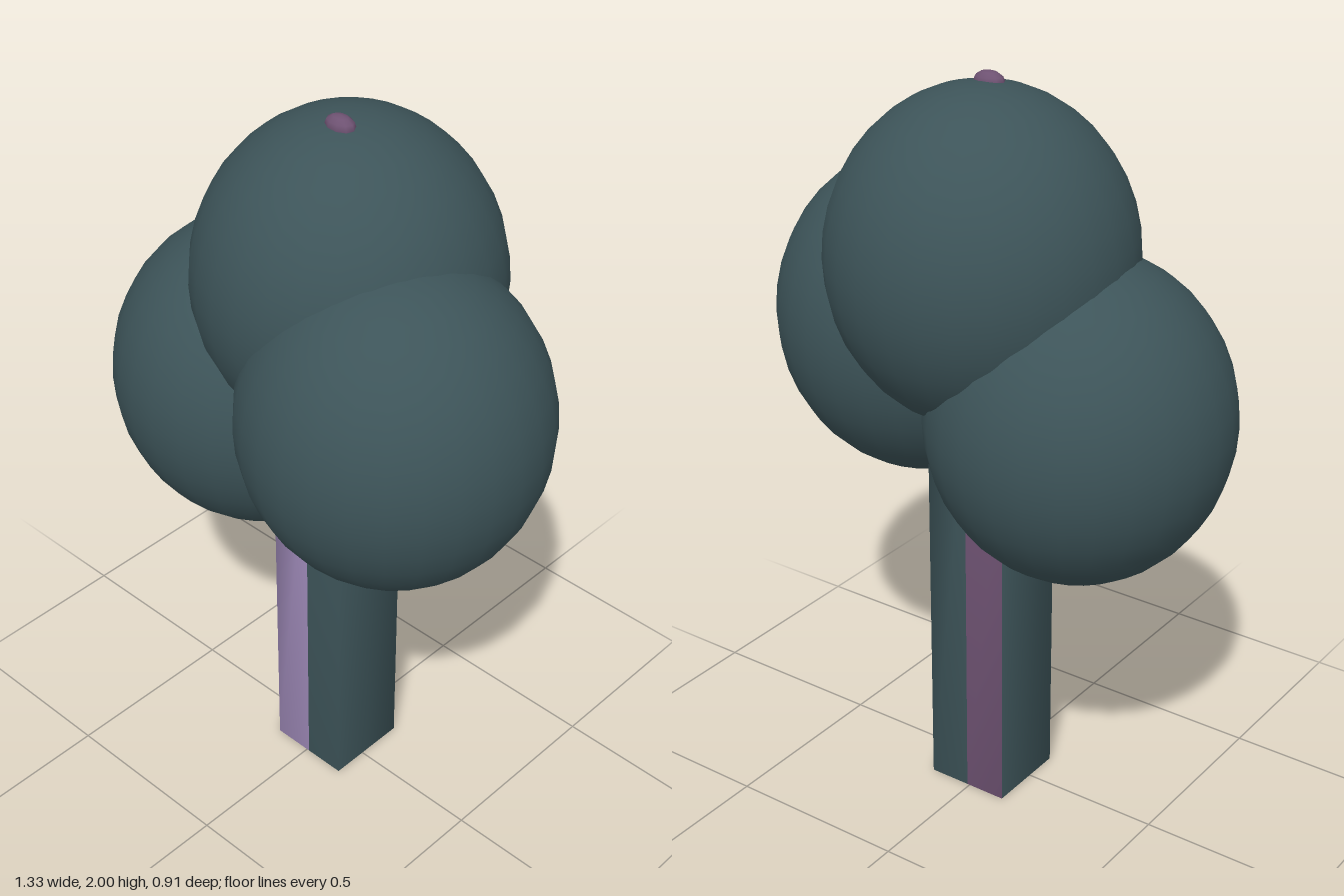
import * as THREE from 'three';
import { mergeVertices } from 'three/addons/utils/BufferGeometryUtils.js';

const paint = (name, color) => {
  const m = new THREE.MeshStandardMaterial({ color });
  m.name = name;
  return m;
};

export function createModel() {
  const tree = new THREE.Group();
  tree.name = 'tree';
  const green = paint('deep teal green', 0x3d5459);
  const lavender = paint('lavender', 0xa08bba);
  const mauve = paint('mauve', 0x6e5272);
  const tan = paint('tan', 0xb8a078);

  const add = (name, geometry, material, x, y, z) => {
    const mesh = new THREE.Mesh(geometry, material);
    mesh.name = name;
    mesh.position.set(x, y, z);
    tree.add(mesh);
    return mesh;
  };

  // Square trunk, soft shaded across its corners, each face split in halves
  let trunk = new THREE.BoxGeometry(0.235, 1.1, 0.235, 2, 1, 2);
  trunk.deleteAttribute('uv');
  trunk.deleteAttribute('normal');
  trunk = mergeVertices(trunk);
  trunk.computeVertexNormals();
  trunk.clearGroups();
  // [first quad, quad count, material]: sides and top, underside, front, back
  const patches = [
    [0, 8, 0], [8, 1, 1], [9, 1, 0], [10, 2, 3],
    [12, 1, 1], [13, 2, 0], [15, 1, 2],
  ];
  for (const [first, count, m] of patches) trunk.addGroup(first * 6, count * 6, m);
  add('trunk', trunk, [green, lavender, mauve, tan], 0.0075, 0.55, -0.0175);

  // Three overlapping balls of foliage, slightly taller than wide
  const ball = new THREE.SphereGeometry(1, 28, 20);
  const crowns = [
    ['rightFoliage', -0.27, 1.165, -0.025, 0.43],
    ['leftFoliage', 0.27, 1.305, 0.058, 0.435],
    ['topFoliage', 0.0, 1.545, -0.065, 0.435],
  ];
  for (const [name, x, y, z, height] of crowns) {
    add(name, ball, green, x, y, z).scale.set(0.396, height, 0.396);
  }

  // Short branches rising from the trunk into the foliage
  const branch = (name, points) => {
    const curve = new THREE.CatmullRomCurve3(points.map((p) => new THREE.Vector3(...p)));
    add(name, new THREE.TubeGeometry(curve, 6, 0.03, 8), green, 0, 0, 0);
  };
  branch('leftBranch', [[0.09, 0.76, 0], [0.14, 0.83, 0], [0.24, 0.94, 0.01]]);
  branch('rightBranch', [[-0.08, 0.75, -0.01], [-0.12, 0.78, -0.01], [-0.2, 0.88, -0.01]]);

  // Small bud at the very top
  const bud = new THREE.SphereGeometry(1, 10, 6);
  add('topBud', bud, mauve, 0.01, 1.972, -0.022).scale.set(0.044, 0.028, 0.03);

  return tree;
}
